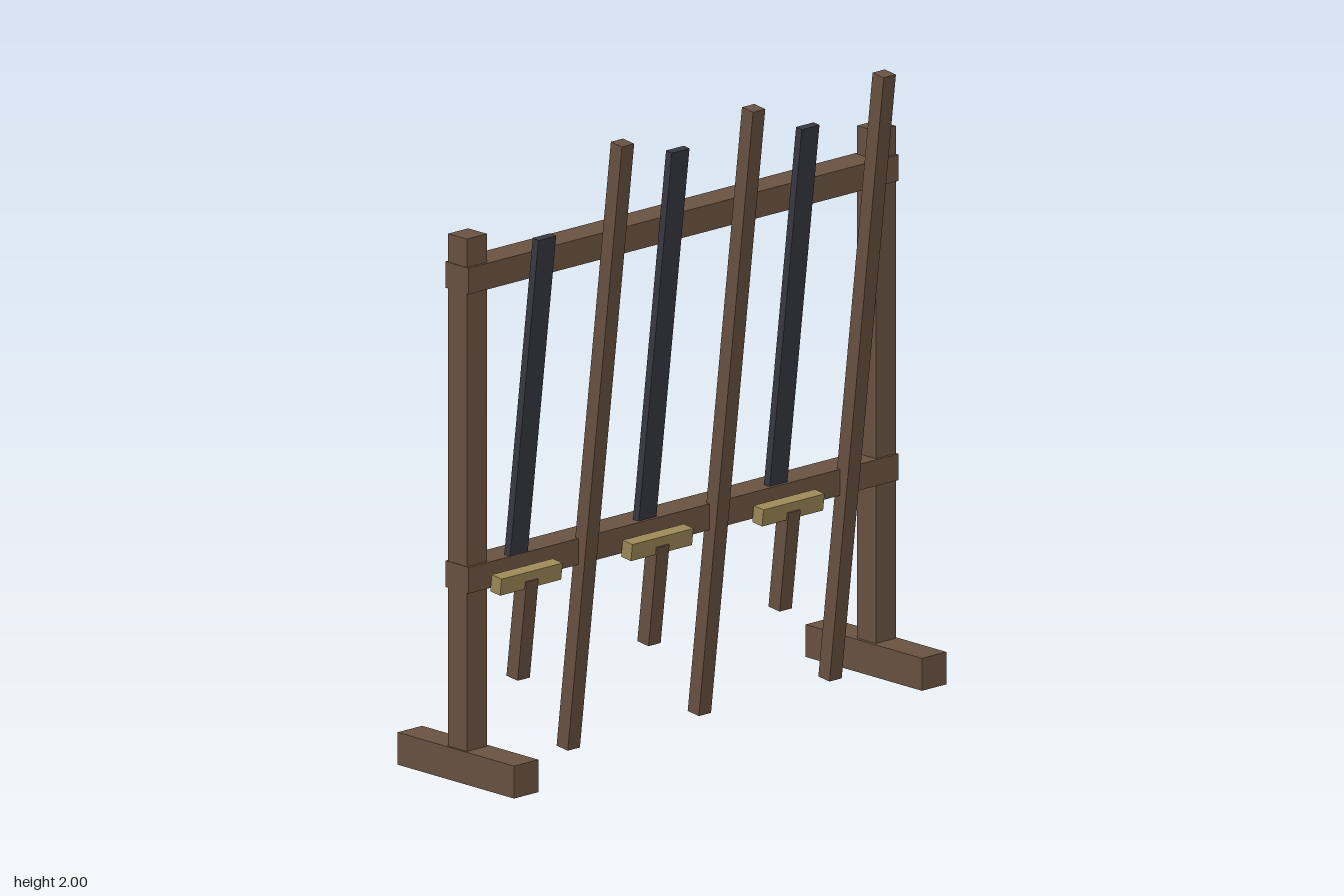
import * as THREE from 'three';

const wood = new THREE.MeshStandardMaterial({ name: 'brown wood', color: 0x6b5342 });
const steel = new THREE.MeshStandardMaterial({ name: 'dark steel', color: 0x3a3a44 });
const brass = new THREE.MeshStandardMaterial({ name: 'dull brass', color: 0xa08c58 });

const LEAN = Math.atan(0.122); // everything on the rack leans forward by this angle

function box(name, material, w, h, d, x, y, z) {
  const mesh = new THREE.Mesh(new THREE.BoxGeometry(w, h, d), material);
  mesh.name = name;
  mesh.position.set(x, y, z);
  return mesh;
}

// A leaning bar between two heights, given the z of its centre at the top
function leaningBar(name, material, w, d, x, y0, y1, zTop) {
  const h = (y1 - y0 - d * Math.sin(LEAN)) / Math.cos(LEAN);
  const z = zTop - (h / 2) * Math.sin(LEAN);
  const mesh = box(name, material, w, h, d, x, (y0 + y1) / 2, z);
  mesh.rotation.x = LEAN;
  return mesh;
}

// Sword: blade, crossguard and grip
function sword(x, tip, zTip) {
  const group = new THREE.Group();
  group.name = 'sword';
  group.add(
    leaningBar('blade', steel, 0.075, 0.026, x, 0.64, tip, zTip),
    leaningBar('crossguard', brass, 0.26, 0.044, x, 0.6, 0.66, 0.088),
    leaningBar('grip', wood, 0.052, 0.05, x, 0.3, 0.63, 0.087)
  );
  return group;
}

export function createModel() {
  const model = new THREE.Group();
  model.name = 'weaponRack';

  // End frames
  for (const side of [-1, 1]) {
    model.add(
      box('foot', wood, 0.104, 0.104, 0.52, side * 0.868, 0.052, 0),
      box('post', wood, 0.085, 1.65, 0.084, side * 0.87, 0.923, 0)
    );
  }

  // Cross rails
  for (const y of [0.655, 1.615]) {
    model.add(box('rail', wood, 1.83, 0.084, 0.104, 0, y, 0));
  }

  // Leaning poles
  for (const x of [-0.422, 0.136, 0.692]) {
    model.add(leaningBar('pole', wood, 0.052, 0.05, x, 0.006, 2, 0.222));
  }

  // Leaning swords
  model.add(sword(-0.7, 1.74, 0.165), sword(-0.143, 1.912, 0.176), sword(0.415, 1.875, 0.171));

  return model;
}
